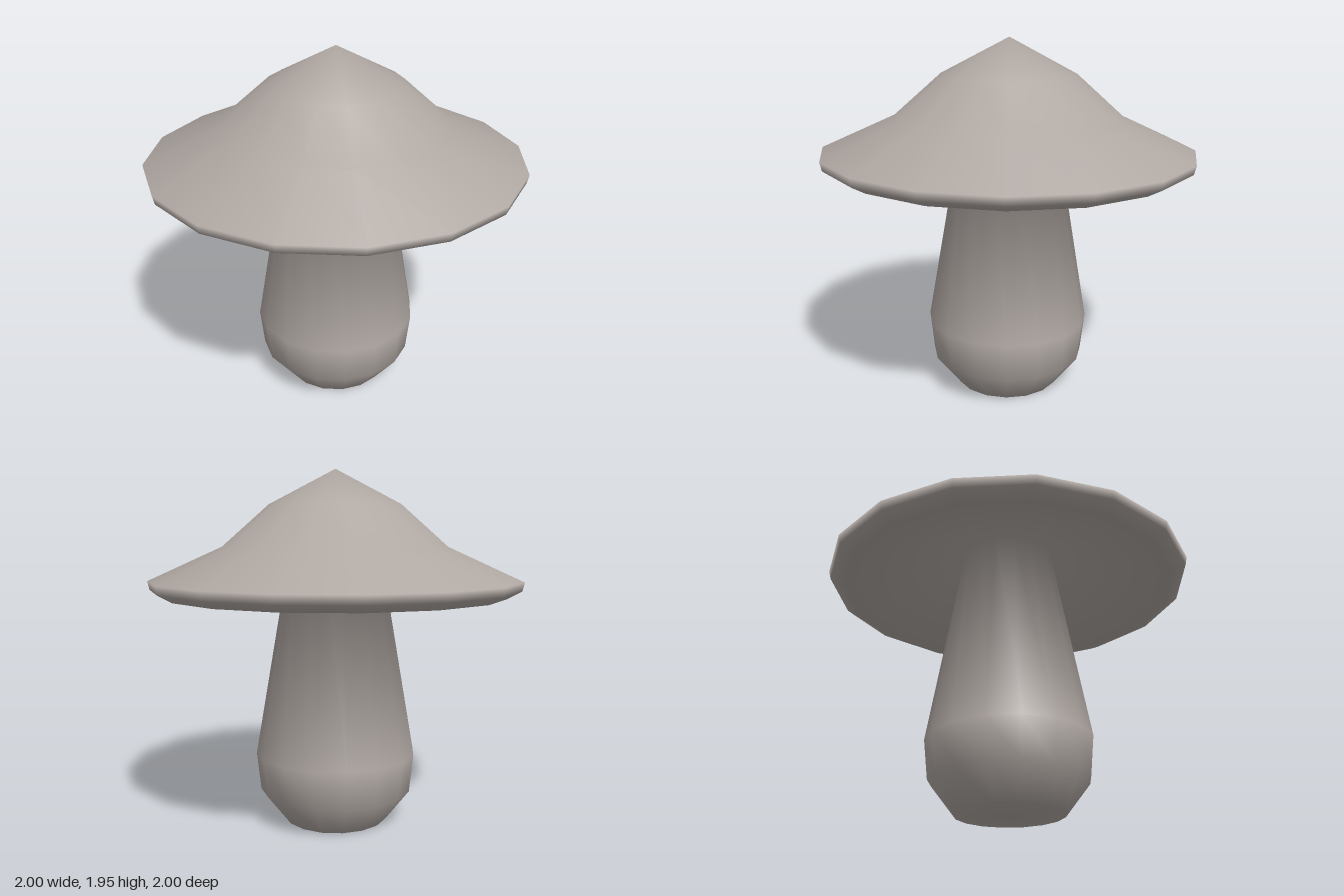
import * as THREE from 'three';
import { mergeVertices } from 'three/addons/utils/BufferGeometryUtils.js';

const SIDES = 16;
const START = THREE.MathUtils.degToRad(13); // turn of the first edge around the axis

// One continuous skin from the foot to the tip of the cap, as [radius, height]
const PROFILE = [
  [0, 0.002], [0.288, 0.005], [0.424, 0.18], [0.446, 0.39], [0.253, 1.5], // bulbous stem
  [0.93, 1.27], [1.003, 1.31], [1.014, 1.357],                           // hollow underside, rolled rim
  [0.615, 1.538], [0.362, 1.762], [0, 1.952],                            // bell-shaped top
];

// Turned surface with shared vertices, so the shading flows over poles, seam and joint
function turned(profile) {
  const points = profile.map(([r, y]) => new THREE.Vector2(r, y));
  const lathe = new THREE.LatheGeometry(points, SIDES, START);
  lathe.deleteAttribute('uv');
  lathe.deleteAttribute('normal');
  const geometry = mergeVertices(lathe);
  geometry.computeVertexNormals();
  return geometry;
}

export function createModel() {
  const material = new THREE.MeshStandardMaterial({ color: 0xafa7a2 });
  const mushroom = new THREE.Mesh(turned(PROFILE), material);
  mushroom.name = 'mushroom';

  // Very slight lean
  mushroom.rotation.set(-0.005, 0, 0.005);
  mushroom.position.set(0.006, 0, 0.006);

  const model = new THREE.Group();
  model.name = 'model';
  model.add(mushroom);
  return model;
}
